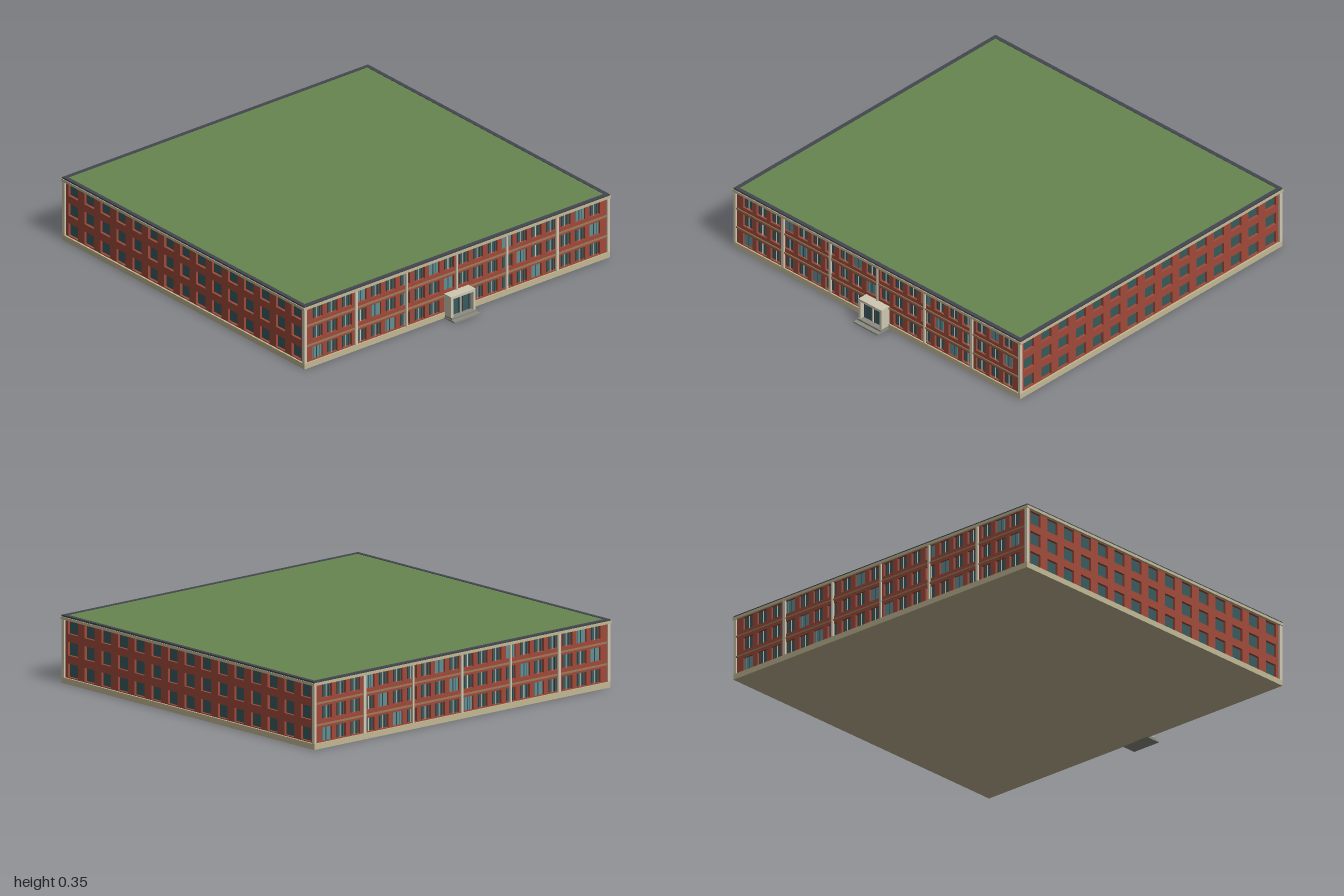
import * as THREE from 'three';

const mat = (color) => new THREE.MeshStandardMaterial({ color });
const BRICK = mat(0xa04a3a), GLASS = mat(0x385a5c), PALE_GLASS = mat(0x628f94);
const STONE = mat(0xc2b894), CREAM = mat(0xcfc8b2), GREEN = mat(0x688650);
const SLATE = mat(0x43464f), STEP = mat(0x8c8c82), BAND = mat(0x9a7a58);

// Building footprint: half width, half depth and centre along z
const HX = 0.985, HZ = 0.945, ZC = -0.04;
const BASE = 0.03, EAVES = 0.33, WALL = 0.014;
const FLOORS = [0.07, 0.182, 0.293], WIN_H = 0.07;

function box(parent, name, w, h, d, x, y, z, material) {
  const mesh = new THREE.Mesh(new THREE.BoxGeometry(w, h, d), material);
  mesh.name = name;
  mesh.position.set(x, y, z);
  parent.add(mesh);
  return mesh;
}

function rectPath(Type, x0, y0, x1, y1) {
  return new Type([[x0, y0], [x1, y0], [x1, y1], [x0, y1]].map(([x, y]) => new THREE.Vector2(x, y)));
}

// Evenly spaced window centres along a wall
const columns = (count, pitch) => Array.from({ length: count }, (_, i) => (i - (count - 1) / 2) * pitch);

// Brick wall with window openings, outer face at local z = 0
function brickWall(half, xs, winW) {
  const shape = rectPath(THREE.Shape, -half, BASE, half, EAVES);
  for (const y of FLOORS) for (const x of xs) {
    shape.holes.push(rectPath(THREE.Path, x - winW / 2, y - WIN_H / 2, x + winW / 2, y + WIN_H / 2));
  }
  const geo = new THREE.ExtrudeGeometry(shape, { depth: WALL, bevelEnabled: false });
  geo.translate(0, 0, -WALL);
  const mesh = new THREE.Mesh(geo, BRICK);
  mesh.name = 'brickWall';
  return mesh;
}

// Main facade: mullioned windows, string courses and pilasters
function facade() {
  const g = new THREE.Group();
  const xs = columns(20, 0.095), winW = 0.066;
  g.add(brickWall(HX, xs, winW));
  FLOORS.forEach((y, floor) => xs.forEach((x, k) => {
    const pale = (k + floor) % 5 === 0;
    if (pale) box(g, 'paleWindow', winW, WIN_H, 0.004, x, y, -WALL + 0.002, PALE_GLASS);
    box(g, 'mullion', 0.004, WIN_H, 0.004, x, y, -WALL + 0.005, pale ? GLASS : CREAM);
    for (const s of [-1, 1]) {
      box(g, 'windowBar', 0.003, WIN_H, 0.004, x + s * 0.019, y, -WALL + 0.004, pale ? PALE_GLASS : SLATE);
    }
  }));
  for (const y of [0.122, 0.234]) box(g, 'stringCourse', 2 * HX, 0.009, 0.006, 0, y, 0.002, BAND);
  for (let i = -2; i <= 2; i++) {
    const w = Math.abs(i) === 2 ? 0.016 : 0.011;
    box(g, 'pilaster', w, EAVES - BASE, 0.012, i * 0.327, (EAVES + BASE) / 2, 0.003, CREAM);
  }
  for (const s of [-1, 1]) {
    box(g, 'cornerPilaster', 0.016, EAVES - BASE, 0.018, s * 0.987, (EAVES + BASE) / 2, -0.001, CREAM);
  }
  return g;
}

// Side elevation: plain square windows
function sideWall() {
  const g = new THREE.Group();
  g.add(brickWall(HZ, columns(15, 0.1254), 0.074));
  return g;
}

// Rectangular ring lying flat, used for cornice and roof edge
function ring(name, hx, hz, width, y, height, material) {
  const shape = rectPath(THREE.Shape, -hx, -hz, hx, hz);
  shape.holes.push(rectPath(THREE.Path, -hx + width, -hz + width, hx - width, hz - width));
  const geo = new THREE.ExtrudeGeometry(shape, { depth: height, bevelEnabled: false });
  geo.rotateX(-Math.PI / 2);
  const mesh = new THREE.Mesh(geo, material);
  mesh.name = name;
  mesh.position.set(0, y, ZC);
  return mesh;
}

// Portal frame, double glass doors and steps
function entrance() {
  const g = new THREE.Group();
  g.name = 'entrance';
  for (const s of [-1, 1]) {
    box(g, 'portalSide', 0.014, 0.118, 0.06, s * 0.073, 0.071, 0.932, CREAM);
    box(g, 'doorGlass', 0.063, 0.104, 0.006, s * 0.034, 0.068, 0.935, GLASS);
    for (const x of [0.012, 0.056]) box(g, 'doorStile', 0.004, 0.09, 0.006, s * x, 0.061, 0.938, SLATE);
    box(g, 'doorRail', 0.048, 0.004, 0.006, s * 0.034, 0.106, 0.938, SLATE);
  }
  box(g, 'portalLintel', 0.16, 0.014, 0.06, 0, 0.126, 0.932, CREAM);
  box(g, 'doorPost', 0.007, 0.104, 0.012, 0, 0.068, 0.938, CREAM);
  box(g, 'upperStep', 0.162, 0.018, 0.065, 0, 0.009, 0.937, STEP);
  box(g, 'lowerStep', 0.168, 0.008, 0.09, 0, 0.004, 0.949, STEP);
  return g;
}

export function createModel() {
  const model = new THREE.Group();

  // Plinth and glazed core seen through the openings
  box(model, 'plinth', 1.99, BASE, 1.906, 0, BASE / 2, ZC, STONE);
  box(model, 'glazing', 2 * (HX - WALL), EAVES - BASE, 2 * (HZ - WALL), 0, (EAVES + BASE) / 2, ZC, GLASS);

  // Four elevations
  const walls = [
    ['frontFacade', facade(), 0, ZC + HZ, 0],
    ['backFacade', facade(), 0, ZC - HZ, Math.PI],
    ['leftWall', sideWall(), HX, ZC, Math.PI / 2],
    ['rightWall', sideWall(), -HX, ZC, -Math.PI / 2],
  ];
  for (const [name, wall, x, z, turn] of walls) {
    wall.name = name;
    wall.position.set(x, 0, z);
    wall.rotation.y = turn;
    model.add(wall);
  }

  // Cornice, roof edge and planted roof
  model.add(ring('cornice', 1, 0.955, 0.04, EAVES, 0.014, STONE));
  model.add(ring('roofEdge', 0.996, 0.951, 0.022, 0.344, 0.008, SLATE));
  box(model, 'greenRoof', 1.96, 0.02, 1.87, 0, 0.34, ZC, GREEN);

  model.add(entrance());
  return model;
}
